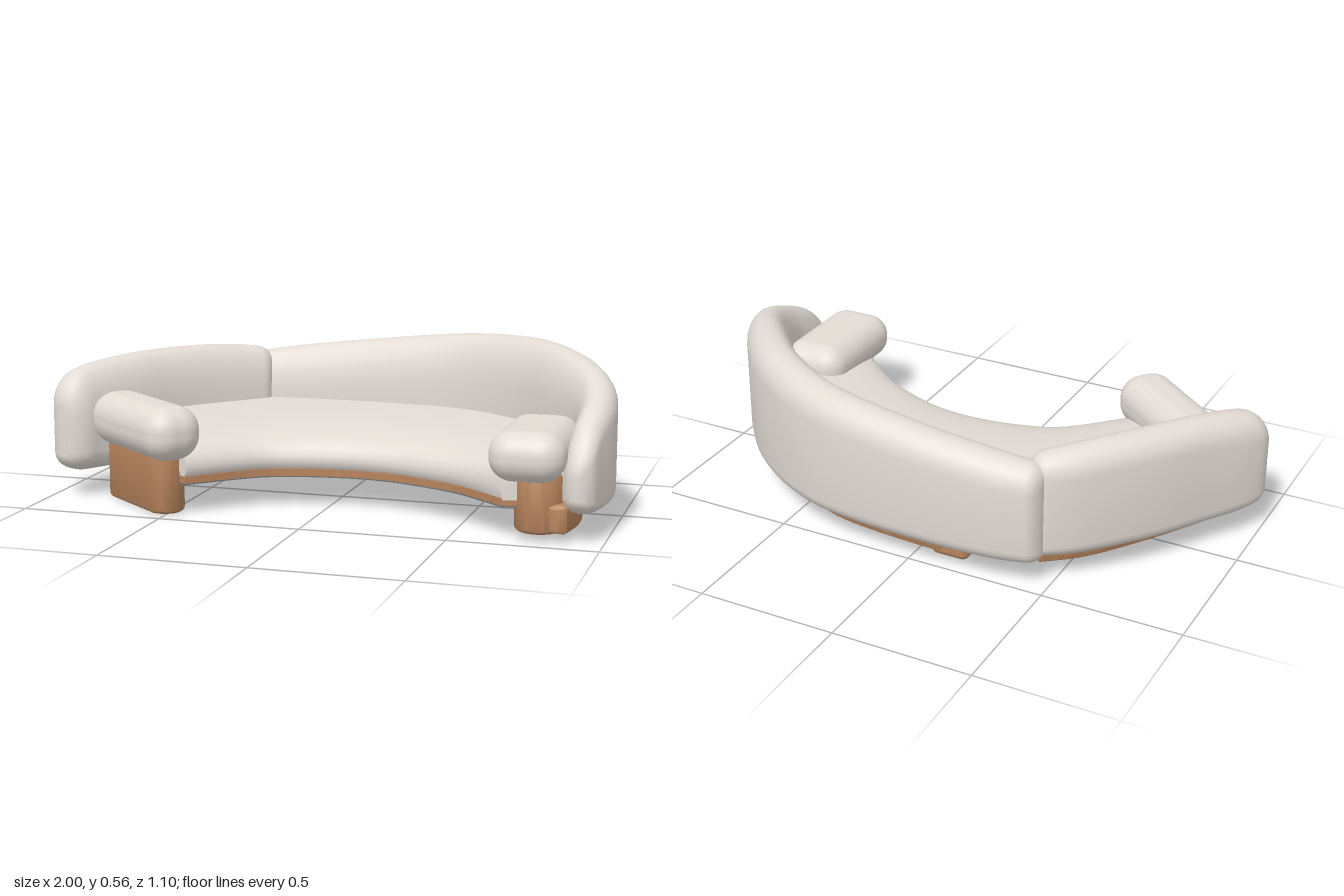
import * as THREE from 'three';
import { toCreasedNormals } from 'three/addons/utils/BufferGeometryUtils.js';
import { RoundedBoxGeometry } from 'three/addons/geometries/RoundedBoxGeometry.js';

const fabric = new THREE.MeshStandardMaterial({ color: 0xe3dcd5 });
fabric.name = 'warm grey fabric';
const wood = new THREE.MeshStandardMaterial({ color: 0xb7845d });
wood.name = 'brown wood';
const lining = new THREE.MeshStandardMaterial({ color: 0x707477 });
lining.name = 'grey lining';

// Joins closed rings of points into a capped solid
function loft(rings, crease) {
  const n = rings[0].length, pos = [], idx = [];
  rings.forEach((ring) => ring.forEach((p) => pos.push(p.x, p.y, p.z)));
  for (let i = 0; i < rings.length - 1; i++) {
    for (let j = 0; j < n; j++) {
      const a = i * n + j, b = i * n + (j + 1) % n;
      idx.push(a, b, a + n, b, b + n, a + n);
    }
  }
  const last = (rings.length - 1) * n;
  [0, last].forEach((start) => {
    const c = new THREE.Vector3();
    for (let j = 0; j < n; j++) c.add(rings[start / n][j]);
    c.divideScalar(n);
    const ci = pos.length / 3;
    pos.push(c.x, c.y, c.z);
    for (let j = 0; j < n; j++) {
      const a = start + j, b = start + (j + 1) % n;
      if (start === 0) idx.push(ci, b, a);
      else idx.push(ci, a, b);
    }
  });
  const g = new THREE.BufferGeometry();
  g.setAttribute('position', new THREE.Float32BufferAttribute(pos, 3));
  g.setIndex(idx);
  return toCreasedNormals(g, crease);
}

const curve = (points) => new THREE.CatmullRomCurve3(points, false, 'catmullrom', 0.5);

// Upright band along a floor path; rows are [x, z, half thickness, bottom, top].
// stretch gives the height of each corner's rounding: outer top, inner top, inner bottom, outer bottom
function band(rows, roundStart, roundEnd, roundness, stretch = [1, 1, 1, 1]) {
  const path = curve(rows.map((r) => new THREE.Vector3(r[0], r[3], r[1])));
  const size = curve(rows.map((r) => new THREE.Vector3(r[2], r[4], 0)));
  const first = path.getPoint(0), end = path.getPoint(1);
  const flat = (p, q) => Math.hypot(p.x - q.x, p.z - q.z);
  const rings = [], steps = 90;
  for (let i = 0; i <= steps; i++) {
    const t = (1 - Math.cos(Math.PI * i / steps)) / 2;
    const p = path.getPoint(t), s = size.getPoint(t);
    const tan = path.getTangent(t).setY(0).normalize();
    const nx = tan.z, nz = -tan.x;
    // Rounded ends
    const atStart = t < 0.5, d = atStart ? roundStart : roundEnd;
    const e = 1 - Math.min(1, flat(p, atStart ? first : end) / d);
    const k = Math.max(0.03, Math.sqrt(1 - e * e));
    const bottom = p.y + (1 - k) * d * 0.7, top = s.y - (1 - k) * d;
    const h = s.x * k, r = Math.min(h * roundness, (top - bottom) / 2);
    const ring = [];
    for (let q = 0; q < 4; q++) {
      const cx = (q === 0 || q === 3 ? 1 : -1) * (h - r);
      const ry = Math.min(r * stretch[q], (top - bottom) * 0.49);
      const cy = q < 2 ? top - ry : bottom + ry;
      for (let m = 0; m <= 6; m++) {
        const a = (q + m / 6) * Math.PI / 2;
        const off = cx + r * Math.cos(a);
        ring.push(new THREE.Vector3(p.x + nx * off, cy + ry * Math.sin(a), p.z + nz * off));
      }
    }
    rings.push(ring);
  }
  return loft(rings, 0.9);
}

// Curved slab between the front and back edges of the seat; section is [front to back, y]
const frontEdge = curve([[-0.425, 0.435], [-0.24, 0.265], [-0.1, 0.205], [0.07, 0.178], [0.22, 0.19],
  [0.36, 0.235], [0.49, 0.297], [0.665, 0.43]].map(([x, z]) => new THREE.Vector3(x, 0, z)));
const backEdge = curve([[-0.82, 0.13], [-0.6, -0.2], [-0.42, -0.38], [0, -0.44], [0.35, -0.39],
  [0.6, -0.25], [0.78, -0.07], [0.88, 0.15], [0.88, 0.38]].map(([x, z]) => new THREE.Vector3(x, 0, z)));

function slab(section, crease) {
  const rings = [];
  for (let i = 0; i <= 60; i++) {
    const f = frontEdge.getPointAt(i / 60), b = backEdge.getPointAt(i / 60);
    rings.push(section.map(([s, y]) => f.clone().lerp(b, s).setY(y)));
  }
  return loft(rings, crease);
}

// Upright block with round ends in plan and softened rims
function pedestal(length, width, height) {
  const bevel = 0.018, r = width / 2 - bevel, x = length / 2 - width / 2;
  const shape = new THREE.Shape();
  shape.absarc(x, 0, r, -Math.PI / 2, Math.PI / 2);
  shape.absarc(-x, 0, r, Math.PI / 2, Math.PI * 1.5);
  const g = new THREE.ExtrudeGeometry(shape, {
    depth: height - 2 * bevel, bevelSize: bevel, bevelThickness: bevel, bevelSegments: 4, curveSegments: 14,
  });
  g.translate(0, 0, bevel).rotateX(-Math.PI / 2);
  return toCreasedNormals(g, 0.7);
}

export function createModel() {
  const group = new THREE.Group();
  const add = (name, geometry, material, x = 0, y = 0, z = 0, turn = 0) => {
    const mesh = new THREE.Mesh(geometry, material);
    mesh.name = name;
    mesh.position.set(x, y, z);
    mesh.rotation.y = turn;
    group.add(mesh);
  };

  // Seat cushion with a soft front edge, its wooden base and underside
  add('seatCushion', slab([[0.03, 0.135], [1, 0.135], [1, 0.288], [0.8, 0.287], [0.6, 0.283], [0.4, 0.275],
    [0.25, 0.264], [0.14, 0.25], [0.07, 0.235], [0.025, 0.214], [0.004, 0.19], [0, 0.17], [0.01, 0.148]], 0.9), fabric);
  add('seatBase', slab([[0.015, 0.116], [0.98, 0.116], [0.98, 0.141], [0.015, 0.141]], 0.6), wood);
  add('undersideLining', slab([[0.02, 0.111], [0.97, 0.111], [0.97, 0.117], [0.02, 0.117]], 0.6), lining);

  // Backrests: a long one sweeping down to the left, a short one on the right
  const padding = [1.25, 2.3, 1, 0.8];
  add('longBackrest', band([
    [-0.475, -0.425, 0.075, 0.095, 0.45], [-0.3, -0.452, 0.088, 0.09, 0.477], [0, -0.46, 0.09, 0.09, 0.513],
    [0.35, -0.42, 0.09, 0.09, 0.552], [0.61, -0.28, 0.09, 0.09, 0.567], [0.79, -0.09, 0.085, 0.09, 0.553],
    [0.9, 0.08, 0.075, 0.09, 0.515], [0.935, 0.22, 0.066, 0.09, 0.467], [0.925, 0.36, 0.056, 0.095, 0.4],
    [0.91, 0.465, 0.05, 0.115, 0.29]], 0.05, 0.06, 0.9, padding), fabric);
  add('shortBackrest', band([
    [-0.95, 0.31, 0.085, 0.1, 0.425], [-0.9, 0.19, 0.083, 0.095, 0.468], [-0.81, 0.045, 0.08, 0.095, 0.49],
    [-0.72, -0.09, 0.08, 0.095, 0.497], [-0.62, -0.215, 0.08, 0.095, 0.497], [-0.51, -0.33, 0.078, 0.095, 0.487],
    [-0.41, -0.41, 0.065, 0.1, 0.47]], 0.09, 0.05, 0.9, padding), fabric);

  // Arm cushions on wooden pedestals
  add('rightArmCushion', new RoundedBoxGeometry(0.52, 0.187, 0.205, 8, 0.085), fabric, -0.615, 0.294, 0.335, -0.68);
  add('rightArmPedestal', pedestal(0.41, 0.13, 0.225), wood, -0.63, 0.006, 0.297, -0.68);
  add('leftArmCushion', new RoundedBoxGeometry(0.25, 0.165, 0.445, 8, 0.078), fabric, 0.755, 0.291, 0.312);
  add('leftArmPedestal', pedestal(0.27, 0.16, 0.2), wood, 0.78, 0.03, 0.315, Math.PI / 2);

  // Curved wooden rails under the backrests, with a rear foot
  const rail = ([x, z]) => [x, z, 0.042, 0.036, 0.13];
  add('longRail', band([[-0.2, -0.41], [0, -0.415], [0.33, -0.375], [0.56, -0.24], [0.73, -0.06],
    [0.83, 0.12], [0.86, 0.28], [0.84, 0.44]].map(rail), 0.012, 0.02, 0.3), wood);
  add('shortRail', band([[-0.4, -0.34], [-0.53, -0.23], [-0.67, -0.04], [-0.79, 0.15]].map(rail),
    0.012, 0.012, 0.3), wood);
  add('rearFoot', new RoundedBoxGeometry(0.14, 0.09, 0.095, 5, 0.025), wood, -0.13, 0.064, -0.41);

  return group;
}
